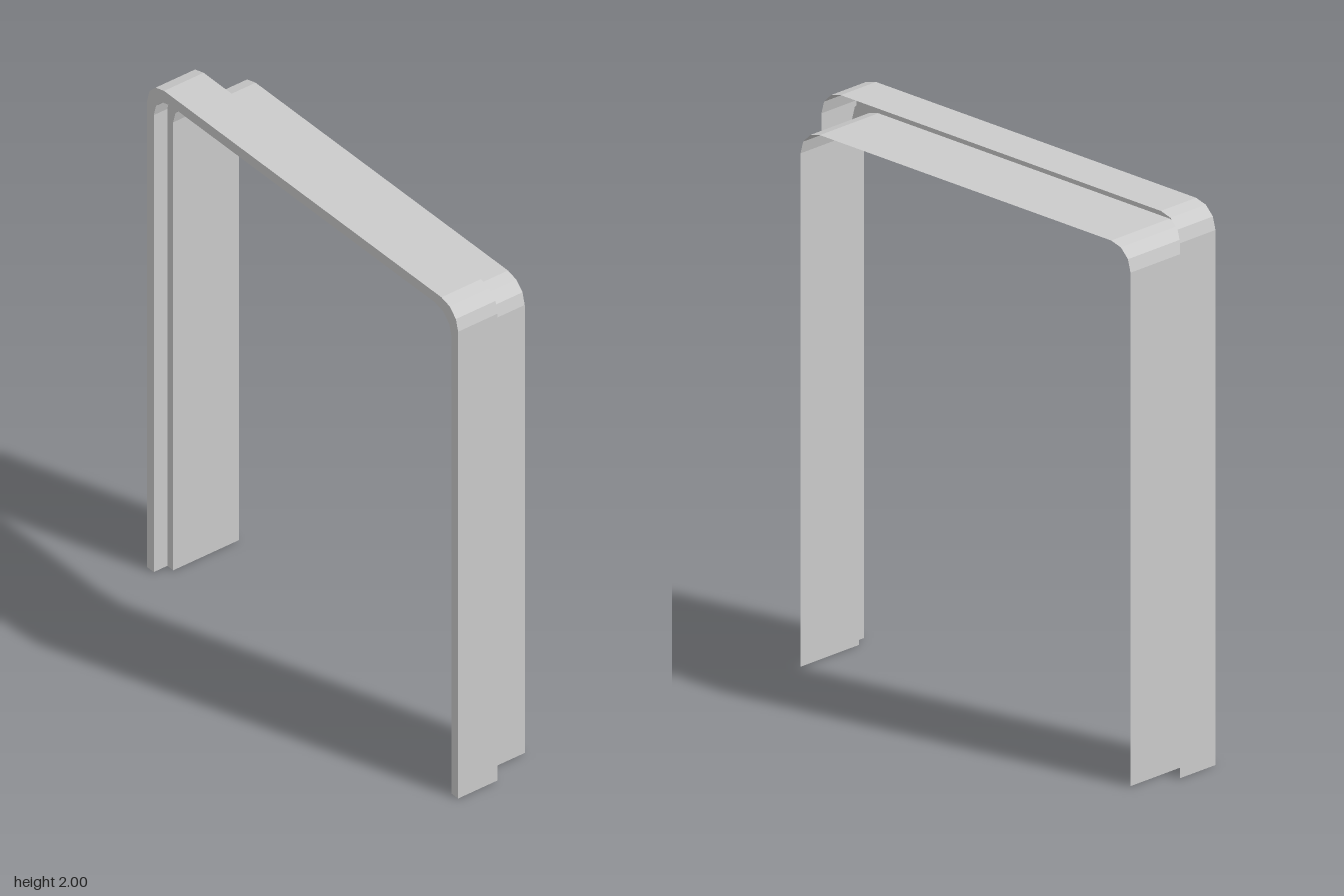
import * as THREE from 'three';

const HALF_WIDTH = 0.835, HEIGHT = 2, RADIUS = 0.09, STEPS = 3, HALF_DEPTH = 0.167;

// Arch outline (leg, rounded corner, lintel, rounded corner, leg), inset from the outermost one
function archOutline(inset) {
  const w = HALF_WIDTH - inset, h = HEIGHT - inset * 1.15;
  const right = [[w, 0]];
  for (let i = 0; i <= STEPS; i++) {
    const a = (i / STEPS) * Math.PI / 2;
    right.push([w - RADIUS + RADIUS * Math.cos(a), h - RADIUS + RADIUS * Math.sin(a)]);
  }
  return [...right, ...right.map(([x, y]) => [-x, y]).reverse()];
}

// Strip of surface between two section points, each given as [inset, z]
function archStrip([insetA, zA], [insetB, zB]) {
  const a = archOutline(insetA), b = archOutline(insetB);
  const positions = [], indices = [];
  a.forEach(([x, y], i) => {
    positions.push(x, y, zA, b[i][0], b[i][1], zB);
    if (i < a.length - 1) {
      const k = i * 2;
      indices.push(k, k + 2, k + 1, k + 1, k + 2, k + 3);
    }
  });
  const geometry = new THREE.BufferGeometry();
  geometry.setAttribute('position', new THREE.Float32BufferAttribute(positions, 3));
  geometry.setIndex(indices);
  const flat = geometry.toNonIndexed();
  flat.computeVertexNormals();
  return flat;
}

export function createModel() {
  const group = new THREE.Group();
  group.name = 'doorFrame';
  const material = new THREE.MeshStandardMaterial({
    color: 0xcccccc, flatShading: true, side: THREE.DoubleSide,
  });

  // Folded sheet section, from the outer rim round to the back of the inner lining
  const section = [
    [0, 0], [0, HALF_DEPTH], [0.035, HALF_DEPTH], [0.035, 0.11], [0.067, 0.11], [0.067, -HALF_DEPTH],
  ];
  const names = ['outerRim', 'frontTrim', 'rebateWall', 'rebateStop', 'innerLining'];
  names.forEach((name, i) => {
    const mesh = new THREE.Mesh(archStrip(section[i], section[i + 1]), material);
    mesh.name = name;
    group.add(mesh);
  });
  return group;
}
